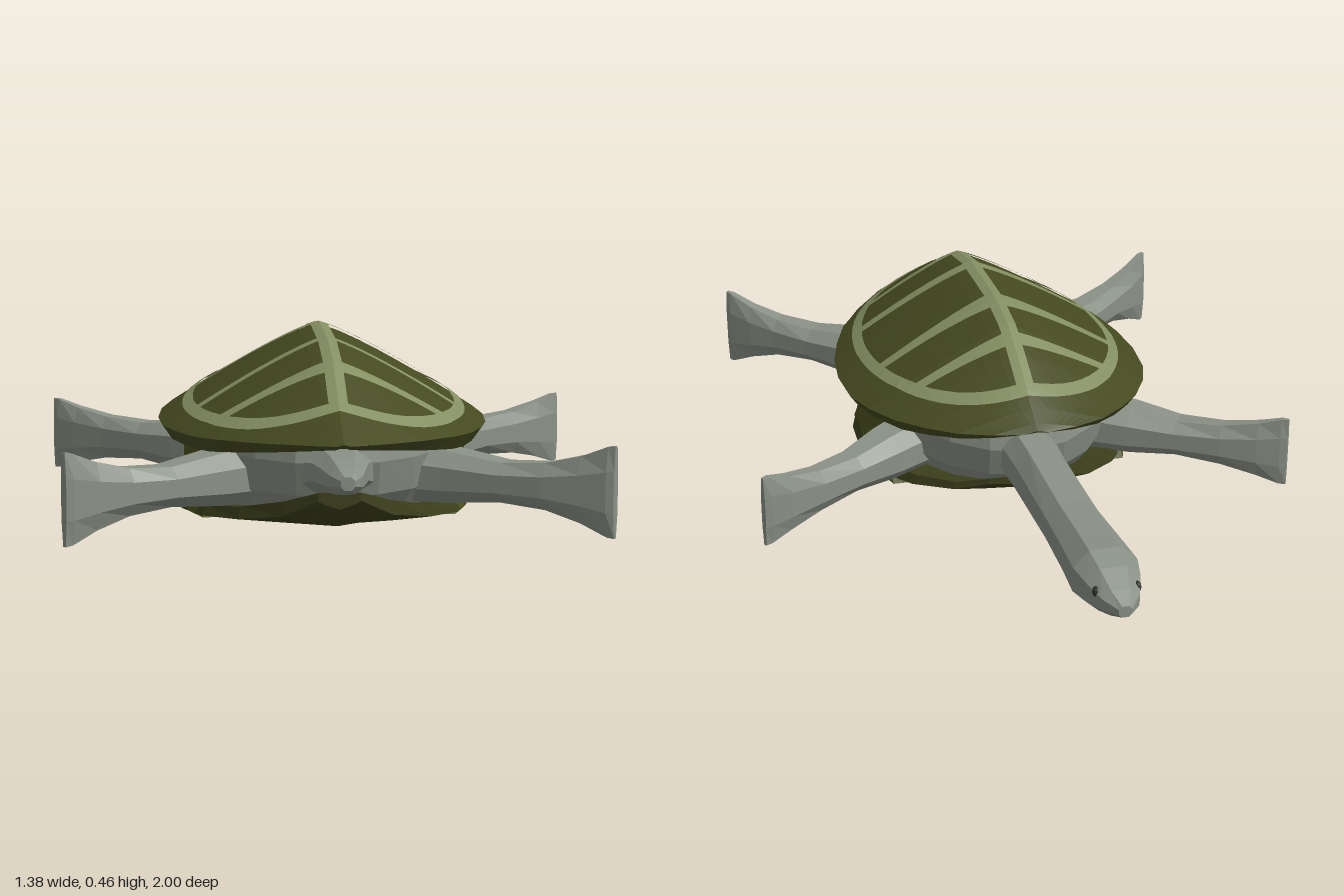
import * as THREE from 'three';

const mat = (color, side = THREE.FrontSide) => new THREE.MeshStandardMaterial({ color, flatShading: true, side });
const V = (x, y, z) => new THREE.Vector3(x, y, z);

// Piecewise linear lookup in [[key, value], ...]
function lookup(table, k) {
  for (let i = 1; i < table.length; i++) {
    const [a, va] = table[i - 1], [b, vb] = table[i];
    if (k <= b) return va + (vb - va) * Math.max(0, (k - a) / (b - a));
  }
  return table[table.length - 1][1];
}

// Skin a row of closed rings and cap both ends, facing outward
function loft(rings) {
  const n = rings[0].length, tris = [];
  const mid = (r) => r.reduce((s, p) => s.add(p), V(0, 0, 0)).divideScalar(n);
  const last = rings[rings.length - 1], c0 = mid(rings[0]), c1 = mid(last);
  for (let j = 0; j < n; j++) {
    const k = (j + 1) % n;
    for (let i = 0; i + 1 < rings.length; i++) {
      const [a, b, c, d] = [rings[i][j], rings[i][k], rings[i + 1][k], rings[i + 1][j]];
      tris.push([a, b, c], [a, c, d]);
    }
    tris.push([c0, rings[0][k], rings[0][j]], [c1, last[j], last[k]]);
  }
  const volume = tris.reduce((s, [a, b, c]) => s + a.dot(b.clone().cross(c)), 0);
  if (volume < 0) tris.forEach((t) => t.reverse());
  const g = new THREE.BufferGeometry().setFromPoints(tris.flat());
  g.computeVertexNormals();
  return g;
}

// Limb from stations [x, y, z, half width, half height], upright eight-sided sections
function limb(stations) {
  const rings = stations.map(([x, y, z, w, h], i) => {
    const p = stations[Math.max(0, i - 1)], q = stations[Math.min(stations.length - 1, i + 1)];
    const side = V(q[2] - p[2], 0, p[0] - q[0]).normalize();
    return [[1, .45], [.5, 1], [-.5, 1], [-1, .45], [-1, -.45], [-.5, -1], [.5, -1], [1, -.45]]
      .map(([u, v]) => V(x, y + v * h, z).addScaledVector(side, u * w));
  });
  return loft(rings);
}

// Shell form along z: half width, ridge height and rim height
const WIDTH = [[-.31, .03], [-.29, .11], [-.25, .19], [-.18, .26], [-.1, .32], [0, .37], [.1, .4], [.23, .41],
  [.35, .4], [.45, .375], [.55, .34], [.65, .28], [.75, .2], [.82, .12], [.87, .06], [.9, .015]];
const RIDGE = [[-.31, .288], [-.2, .35], [-.1, .4], [0, .442], [.15, .46], [.43, .447], [.6, .41], [.75, .335], [.9, .268]];
const RIM = [[-.31, .282], [-.1, .255], [.1, .238], [.33, .232], [.6, .24], [.8, .255], [.9, .264]];

function shellY(x, z) {
  const u = Math.min(1, Math.abs(x) / lookup(WIDTH, z)), rim = lookup(RIM, z);
  return rim + (lookup(RIDGE, z) - rim) * (1 - Math.pow(u, 1.2));
}

function shellGeometry() {
  const zs = WIDTH.map(([z]) => z).concat([-.22, -.14, -.05, .05, .16, .29, .4, .5, .6, .7, .78]).sort((a, b) => a - b);
  return loft(zs.map((z) => {
    const w = lookup(WIDTH, z), ring = [];
    for (let i = -8; i <= 8; i++) ring.push(V(w * i / 8, shellY(w * i / 8, z), z));
    const y = lookup(RIM, z), drop = Math.min(.035, .01 + w * .08), zi = .29 + (z - .29) * .96;
    ring.push(V(w * .94, y - drop, zi), V(w * .75, y - drop * .7, zi), V(-w * .75, y - drop * .7, zi), V(-w * .94, y - drop, zi));
    return ring;
  }));
}

// Band lying just above the shell; at(t, s) gives [x, z] along and across it
function band(at, along, across) {
  const pos = [], idx = [];
  for (let i = 0; i <= along; i++) for (let j = 0; j <= across; j++) {
    const [x, z] = at(i / along, j / across);
    pos.push(x, shellY(x, z) + .006, z);
    if (i < along && j < across) {
      const a = i * (across + 1) + j, b = a + across + 1;
      idx.push(a, b, a + 1, a + 1, b, b + 1);
    }
  }
  const g = new THREE.BufferGeometry();
  g.setAttribute('position', new THREE.Float32BufferAttribute(pos, 3));
  g.setIndex(idx);
  g.computeVertexNormals();
  return g;
}

export function createModel() {
  const model = new THREE.Group();
  const shellMat = mat(0x454a20), stripeMat = mat(0x848f62, THREE.DoubleSide);
  const skinMat = mat(0x8a9186), bellyMat = mat(0x3c401b), bridgeMat = mat(0x4d521f), eyeMat = mat(0x30332c);
  const add = (name, geometry, material, parent = model) => {
    const m = new THREE.Mesh(geometry, material);
    m.name = name;
    parent.add(m);
    return m;
  };

  add('shell', shellGeometry(), shellMat);

  // Pale seams between the shell plates
  const seams = new THREE.Group();
  seams.name = 'shellSeams';
  model.add(seams);
  const oval = (a, k) => {
    const c = Math.cos(a), s = Math.sin(a);
    return [k * .35 * Math.sign(c) * Math.abs(c) ** .9, .28 + k * .5 * s];
  };
  add('ringSeam', band((t, s) => oval(t * Math.PI * 2, .925 + s * .075), 64, 2), stripeMat, seams);
  add('ridgeSeam', band((t, s) => [(s - .5) * .045, -.21 + t * .98], 40, 2), stripeMat, seams);
  // Cross seams: z at the ridge, z at the ring, half width at ridge and ring, reach
  for (const [z0, z1, h0, h1, reach] of [[-.045, -.04, .022, .014, .26], [.135, .13, .036, .016, .325],
    [.405, .41, .022, .018, .325], [.605, .575, .026, .016, .268]])
    for (const side of [-1, 1])
      add('crossSeam', band((t, s) => [side * t * reach,
        z0 + (z1 - z0) * t + (s * 2 - 1) * (h0 + (h1 - h0) * Math.sin(t * Math.PI / 2))], 16, 2), stripeMat, seams);

  // Belly plate: [z, half width, bottom y, edge y, top y]
  add('bellyPlate', loft([[-.2, .1, .085, .095, .11], [-.15, .18, .05, .065, .085], [-.06, .27, .02, .045, .07],
    [.05, .335, .002, .03, .06], [.2, .36, .006, .025, .05], [.35, .355, .013, .025, .05], [.5, .31, .022, .035, .06],
    [.63, .23, .034, .05, .08], [.73, .13, .05, .075, .11], [.79, .05, .1, .12, .14]]
    .map(([z, w, b, e, t]) => [V(0, b, z), V(w * .6, b + (e - b) * .5, z), V(w, e, z), V(w * .96, t, z),
      V(-w * .96, t, z), V(-w, e, z), V(-w * .6, b + (e - b) * .5, z)])), bellyMat);

  // Side bridges joining shell and belly plate, pinched in the middle
  for (const side of [-1, 1])
    add('bridge', loft([[.03, -.02, .5, .34], [.1, .1, .41, .345], [.17, .07, .45, .345], [.235, -.02, .56, .325]]
      .map(([y, a, b, x]) => [V(side * .2, y, a), V(side * x * .92, y, a), V(side * x, y, a + .09),
        V(side * x, y, b - .09), V(side * x * .9, y, b), V(side * .2, y, b)])), bridgeMat);

  // Soft body between the plates
  add('body', loft([[.06, .27, .86], [.12, .31, .97], [.2, .32, 1.02], [.26, .31, 1]].map(([y, w, k]) => {
    const ring = [];
    for (let i = 0; i < 20; i++) {
      const a = i / 20 * Math.PI * 2;
      ring.push(V(w * Math.cos(a), y, .26 + .49 * k * Math.sin(a)));
    }
    return ring;
  })), skinMat);

  // Neck and head in one piece, reaching back and bending slightly sideways
  add('neckAndHead', limb([[0, .175, 0, .1, .07], [0, .175, -.2, .07, .072], [-.005, .172, -.32, .065, .07],
    [-.016, .168, -.58, .066, .061], [-.023, .17, -.74, .073, .065], [-.025, .172, -.84, .078, .07],
    [-.027, .171, -.9, .066, .055], [-.028, .168, -.96, .045, .032], [-.028, .166, -1, .016, .014]]), skinMat);
  for (const side of [-1, 1]) {
    const eye = add('eye', new THREE.SphereGeometry(.013, 8, 6), eyeMat);
    eye.position.set(-.027 + side * .049, .186, -.93);
    eye.scale.x = .7;
  }

  add('tail', limb([[0, .165, .66, .1, .06], [0, .19, .8, .065, .046], [0, .195, .88, .052, .04],
    [0, .197, .95, .04, .032], [0, .198, .985, .027, .022], [0, .198, 1, .016, .015]]), skinMat);

  // Legs: thin ankles flaring into tall, flat feet
  for (const side of [-1, 1]) {
    add('frontLeg', limb([[.2, .13, .07, .08, .07], [.34, .125, -.025, .068, .062], [.44, .125, -.1, .05, .048],
      [.54, .124, -.17, .036, .056], [.62, .123, -.22, .025, .075], [.672, .122, -.25, .015, .093],
      [.687, .122, -.26, .007, .094]].map(([x, ...r]) => [side * x, ...r])), skinMat);
    add('backLeg', limb([[.16, .145, .5, .085, .07], [.29, .142, .59, .072, .062], [.4, .142, .68, .054, .047],
      [.49, .143, .75, .04, .055], [.56, .143, .8, .029, .078], [.612, .143, .84, .018, .105],
      [.625, .143, .852, .009, .107]].map(([x, ...r]) => [side * x, ...r])), skinMat);
  }
  return model;
}
